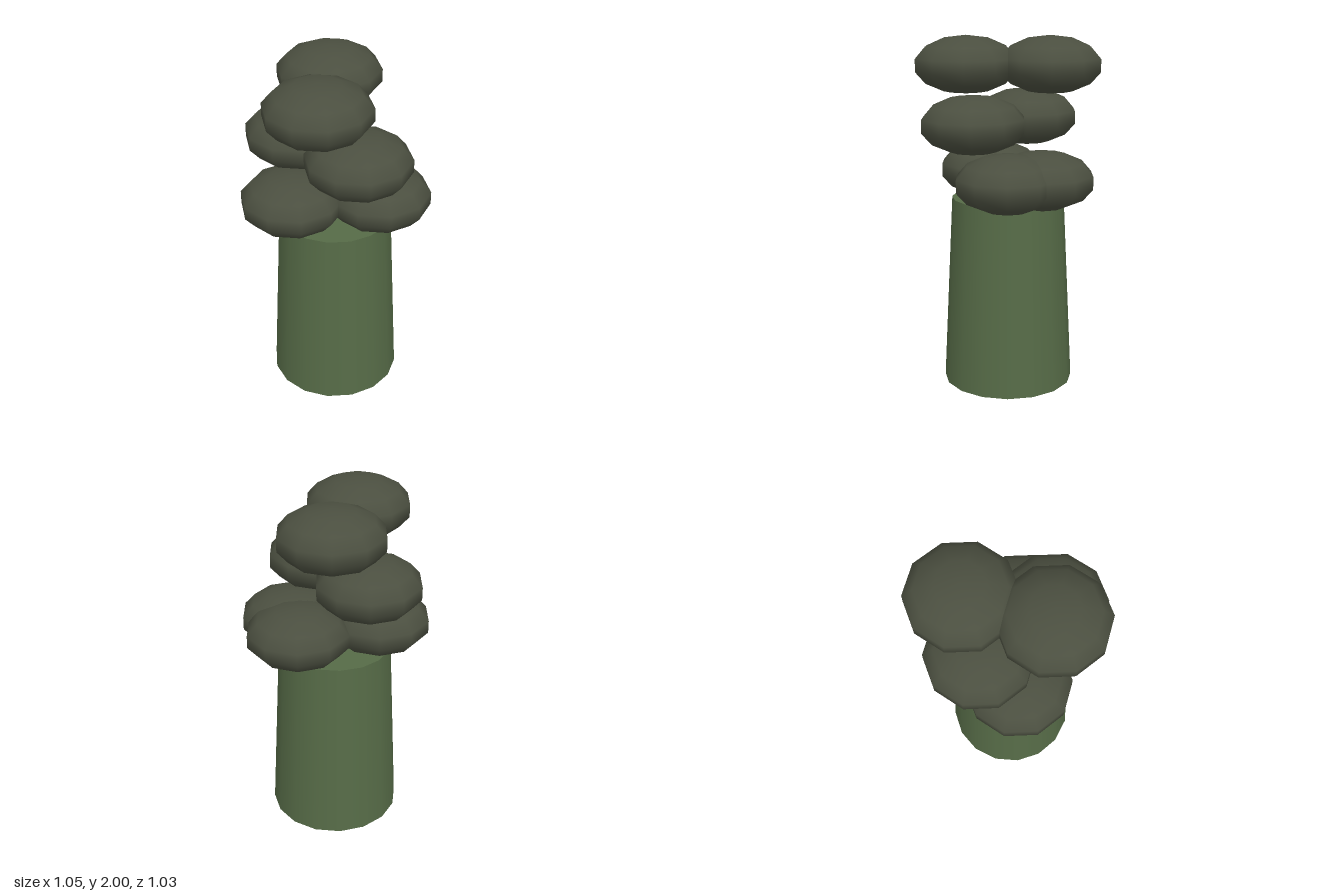
import * as THREE from 'three';

export function createModel() {
  const group = new THREE.Group();
  const barkMaterial = new THREE.MeshStandardMaterial({ color: 0x566b47 });
  const leafMaterial = new THREE.MeshStandardMaterial({ color: 0x4b4f40 });

  // Tapered trunk
  const trunkHeight = 1.09;
  const trunk = new THREE.Mesh(
    new THREE.CylinderGeometry(0.32, 0.375, trunkHeight, 16),
    barkMaterial
  );
  trunk.name = 'trunk';
  trunk.position.set(-0.013, trunkHeight / 2, 0);
  group.add(trunk);

  // Flattened leaf clumps, stacked in three tiers: [x, z] of each clump
  const clumpGeometry = new THREE.SphereGeometry(0.3, 10, 7);
  clumpGeometry.scale(1, 0.545, 1);
  const tiers = [
    { name: 'lowerClump', y: 1.215, spots: [[0.235, 0], [-0.235, 0.107], [0.137, -0.19]] },
    { name: 'middleClump', y: 1.525, spots: [[0.137, 0.19], [-0.235, -0.107]] },
    { name: 'upperClump', y: 1.836, spots: [[-0.07, 0.237], [-0.07, -0.237]] },
  ];
  for (const { name, y, spots } of tiers) {
    spots.forEach(([x, z], i) => {
      const clump = new THREE.Mesh(clumpGeometry, leafMaterial);
      clump.name = name + (i + 1);
      clump.position.set(x, y, z);
      group.add(clump);
    });
  }
  return group;
}
